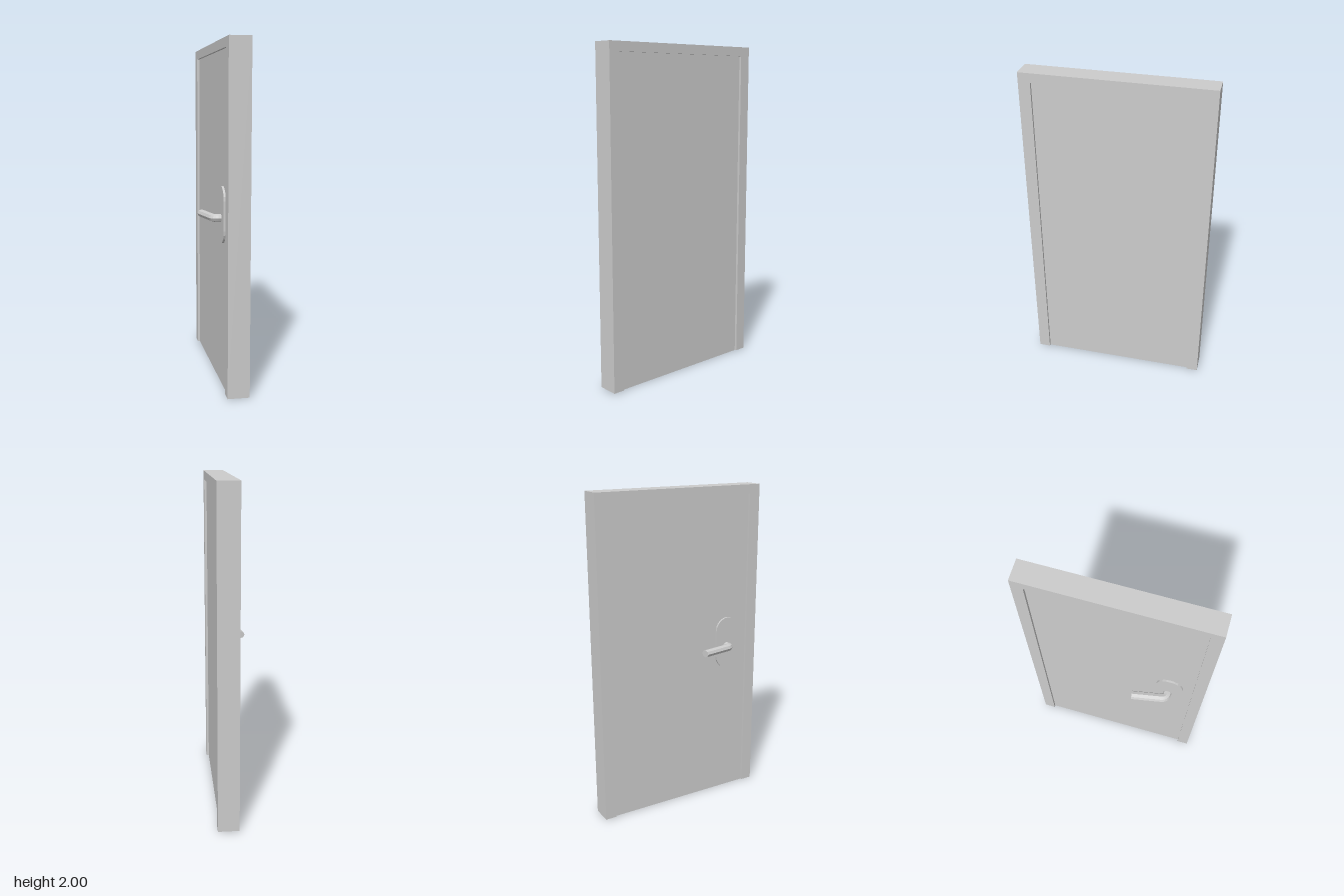
import * as THREE from 'three';

export function createModel() {
  const model = new THREE.Group();
  const material = new THREE.MeshStandardMaterial({ color: 0xcccccc, flatShading: true });

  function add(name, geometry, x = 0, y = 0, z = 0) {
    const mesh = new THREE.Mesh(geometry, material);
    mesh.name = name;
    mesh.position.set(x, y, z);
    model.add(mesh);
    return mesh;
  }

  // Door frame: an upside-down U, extruded along x
  const outline = [[-0.55, 0.003], [-0.48, 0.003], [-0.48, 1.945], [0.48, 1.945],
    [0.48, 0.003], [0.55, 0.003], [0.55, 2], [-0.55, 2]];
  const frameShape = new THREE.Shape(outline.map(([a, b]) => new THREE.Vector2(a, b)));
  const frame = new THREE.ExtrudeGeometry(frameShape, { depth: 0.127, bevelEnabled: false });
  add('doorFrame', frame.rotateY(Math.PI / 2), -0.014);

  // Door leaf, set back from both faces of the frame
  add('doorLeaf', new THREE.BoxGeometry(0.098, 1.945, 0.96), 0.049, 0.9725, 0);

  // Handle plate with rounded ends, on the -x face
  const r = 0.08, half = 0.085;
  const plateShape = new THREE.Shape();
  plateShape.absarc(0, half, r, 0, Math.PI);
  plateShape.absarc(0, -half, r, Math.PI, Math.PI * 2);
  const plate = new THREE.ExtrudeGeometry(plateShape, { depth: 0.012, bevelEnabled: false, curveSegments: 5 });
  add('handlePlate', plate.rotateY(-Math.PI / 2), 0, 1.02, 0.335);

  // Lever: an eight-sided bar that leaves the plate and bends towards the door's middle
  const v = (x, z) => new THREE.Vector3(x, 0, z);
  const path = new THREE.CurvePath();
  path.add(new THREE.LineCurve3(v(0, 0.331), v(-0.026, 0.331)));
  path.add(new THREE.QuadraticBezierCurve3(v(-0.026, 0.331), v(-0.05, 0.329), v(-0.055, 0.304)));
  path.add(new THREE.LineCurve3(v(-0.055, 0.304), v(-0.088, 0.123)));
  const section = new THREE.Shape();
  for (let i = 0; i < 8; i++) {
    const a = (i / 8) * Math.PI * 2;
    section[i ? 'lineTo' : 'moveTo'](0.027 * Math.cos(a), 0.027 * Math.sin(a));
  }
  const lever = new THREE.ExtrudeGeometry(section, { steps: 28, extrudePath: path, bevelEnabled: false });
  add('handleLever', lever.scale(1, 0.85, 1), 0, 1, 0);

  return model;
}
